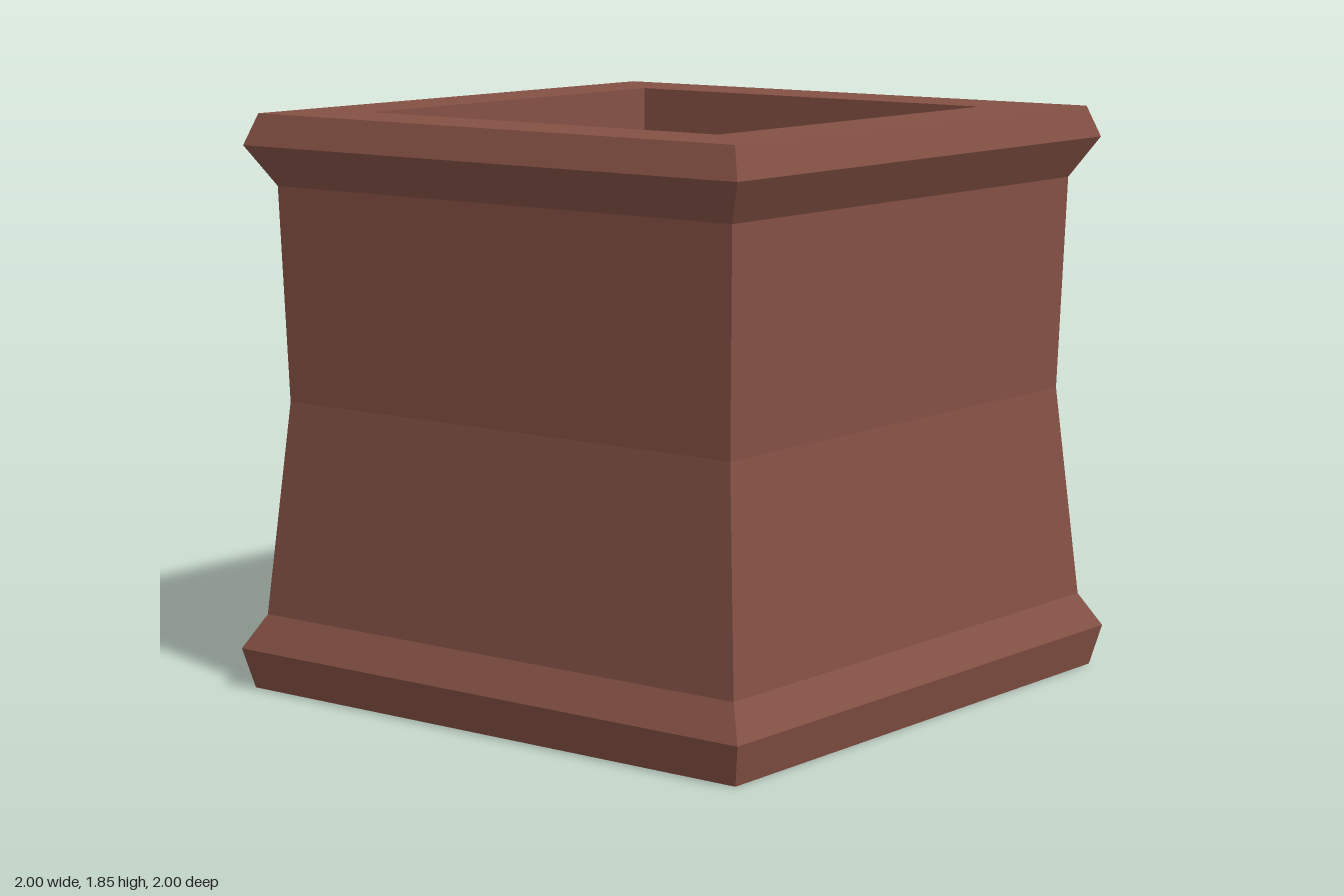
import * as THREE from 'three';

// Skins a stack of rectangles, each given as [half width, half depth, y]
function rectLoft(rings) {
  const corners = [[1, 1], [1, -1], [-1, -1], [-1, 1]];
  const pos = [];
  const point = ([hx, hz, y], k) => [corners[k % 4][0] * hx, y, corners[k % 4][1] * hz];
  for (let i = 0; i < rings.length - 1; i++) {
    for (let k = 0; k < 4; k++) {
      const a = point(rings[i], k), b = point(rings[i], k + 1);
      const c = point(rings[i + 1], k + 1), d = point(rings[i + 1], k);
      if (rings[i][0] > 0) pos.push(...a, ...b, ...c);
      if (rings[i + 1][0] > 0) pos.push(...a, ...c, ...d);
      else if (rings[i][0] === 0) continue;
    }
  }
  const geo = new THREE.BufferGeometry();
  geo.setAttribute('position', new THREE.Float32BufferAttribute(pos, 3));
  geo.computeVertexNormals();
  return geo;
}

export function createModel() {
  const model = new THREE.Group();
  model.name = 'planterBox';
  const clay = new THREE.MeshStandardMaterial({ color: 0x855145, flatShading: true });
  const earth = new THREE.MeshStandardMaterial({ color: 0x4d2f20, flatShading: true });

  // Square pot: underside, flared foot, waisted wall, rim and inner wall
  const profile = [
    [0, 0], [0.97, 0], [1, 0.13], [0.94, 0.24], [0.88, 0.93], [0.9, 1.62],
    [0.975, 1.75], [0.94, 1.85], [0.69, 1.85], [0.69, 1.6],
  ];
  const pot = new THREE.Mesh(rectLoft(profile.map(([r, y]) => [r, r, y])), clay);
  pot.name = 'pot';
  model.add(pot);

  // Three raised soil beds side by side, bevelled towards a flat top
  const bed = rectLoft([
    [0.23, 0.69, 0], [0.155, 0.62, 0.03], [0.09, 0.5, 0.04], [0, 0, 0.04],
  ]);
  const soil = new THREE.Group();
  soil.name = 'soil';
  for (let i = -1; i <= 1; i++) {
    const mound = new THREE.Mesh(bed, earth);
    mound.name = 'soilBed';
    mound.position.set(i * 0.46, 1.6, 0);
    soil.add(mound);
  }
  model.add(soil);
  return model;
}
